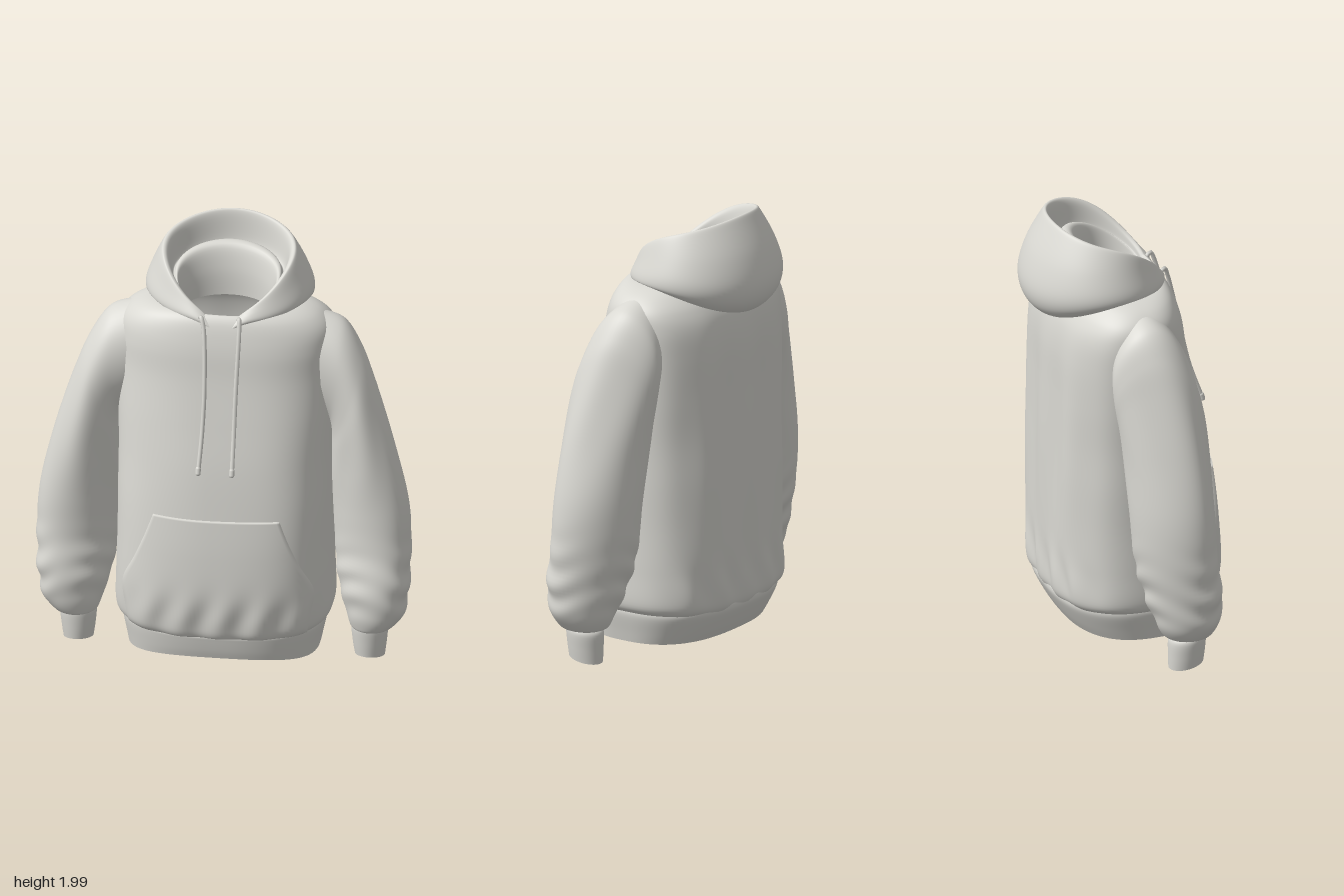
import * as THREE from 'three';

const cloth = new THREE.MeshStandardMaterial({ color: 0xd9d8d2, side: THREE.DoubleSide });
cloth.name = 'light grey cloth';

// Smooth interpolation through rows of numbers, s in 0..1
function spline(rows, s) {
  const f = s * (rows.length - 1), i = Math.min(Math.floor(f), rows.length - 2), t = f - i;
  const row = k => rows[Math.max(0, Math.min(rows.length - 1, k))];
  return rows[0].map((_, k) => {
    const [a, b, c, d] = [row(i - 1)[k], row(i)[k], row(i + 1)[k], row(i + 2)[k]];
    return b + 0.5 * t * (c - a + t * (2 * a - 5 * b + 4 * c - d + t * (3 * (b - c) + d - a)));
  });
}

// Surface from point(u, v); u runs round or across, v along; cells inside a hole are left out
function surface(name, point, nu, nv, { closed = true, hole = () => false } = {}) {
  const pos = [], idx = [], w = closed ? nu : nu + 1;
  for (let i = 0; i <= nv; i++)
    for (let j = 0; j < w; j++) pos.push(...point(j / nu, i / nv));
  for (let i = 0; i < nv; i++)
    for (let j = 0; j < nu; j++) {
      const a = i * w + j, b = i * w + (j + 1) % w;
      if (!hole(...pos.slice(a * 3, a * 3 + 3))) idx.push(a, b, a + w, b, b + w, a + w);
    }
  const g = new THREE.BufferGeometry();
  g.setAttribute('position', new THREE.Float32BufferAttribute(pos, 3));
  g.setIndex(idx);
  g.computeVertexNormals();
  const mesh = new THREE.Mesh(g, cloth);
  mesh.name = name;
  return mesh;
}

const sgnPow = (v, p) => Math.sign(v) * Math.pow(Math.abs(v), p);
const bump = (v, c, w) => Math.exp(-(((v - c) / w) ** 2));

// Body rows: y, half width, front z, back z, squareness of the section
const bodyRows = [
  [0.19, 0.445, 0.38, -0.335, 2.7], [0.24, 0.485, 0.4, -0.35, 2.8], [0.4, 0.485, 0.415, -0.35, 2.8],
  [0.6, 0.48, 0.405, -0.35, 2.8], [0.8, 0.48, 0.38, -0.348, 2.8], [1.0, 0.48, 0.348, -0.345, 2.7],
  [1.2, 0.485, 0.305, -0.34, 2.7], [1.4, 0.488, 0.262, -0.335, 2.6], [1.53, 0.488, 0.24, -0.315, 2.6],
  [1.61, 0.475, 0.22, -0.28, 2.5], [1.665, 0.425, 0.2, -0.235, 2.4], [1.695, 0.355, 0.18, -0.2, 2.3],
  [1.7, 0.28, 0.165, -0.175, 2.2], [1.67, 0.21, 0.15, -0.155, 2],
];

// Gathers above the hem and long folds down the back
function fold(x, y, front) {
  const gather = 0.01 * bump(y, 0.29, 0.11) * Math.sin(x * 36 + Math.sin(y * 9));
  const drape = front ? 0.004 * Math.sin(x * 13 + y * 3) * bump(y, 0.9, 0.5)
    : 0.01 * Math.cos(x * 24) * bump(y, 0.95, 0.5);
  return gather + drape;
}

function bodyPoint(u, v) {
  const [y, hw, zf, zb, p] = spline(bodyRows, v), t = u * Math.PI * 2;
  const c = Math.cos(t), x = hw * sgnPow(Math.sin(t), 2 / p);
  const z = (zf + zb) / 2 + (zf - zb) / 2 * sgnPow(c, 2 / p);
  return [x, y, z + c * fold(x, y, c > 0)];
}
const armhole = (x, y, z) => Math.abs(x) > 0.38 && ((y - 1.4) / 0.22) ** 2 + ((z + 0.02) / 0.125) ** 2 < 1;

// Depth of the body front at x, y
function frontZ(x, y) {
  let lo = 0, hi = 0.75;
  for (let k = 0; k < 24; k++) {
    const m = (lo + hi) / 2;
    if (spline(bodyRows, m)[0] < y) lo = m; else hi = m;
  }
  const [, hw, zf, zb, p] = spline(bodyRows, lo);
  const q = Math.max(0, 1 - Math.pow(Math.min(1, Math.abs(x) / hw), p));
  return (zf + zb) / 2 + (zf - zb) / 2 * Math.pow(q, 1 / p) + Math.sqrt(q) * fold(x, y, true);
}

// Ribbed hem band, raised a little at the front centre, open below
const hemRows = [
  [0.05, 0.43, 0.37, -0.27], [0.1, 0.44, 0.38, -0.3],
  [0.17, 0.455, 0.39, -0.335], [0.2, 0.455, 0.392, -0.34], [0.215, 0.445, 0.38, -0.335],
];
function hemPoint(u, v) {
  const [y, hw, zf, zb] = spline(hemRows, v), t = u * Math.PI * 2, c = Math.cos(t);
  const lift = c > 0 ? 0.04 * c * c * Math.max(0, (0.2 - y) / 0.15) : 0;
  return [hw * sgnPow(Math.sin(t), 0.76), y + lift, (zf + zb) / 2 + (zf - zb) / 2 * sgnPow(c, 0.76)];
}

// Hood rows: front z, front y, back z, back y, half width, side lift, forward lean of the lift
const hoodRows = [
  [0.17, 1.66, -0.31, 1.575, 0.32, 0.075, 0], [0.195, 1.665, -0.365, 1.565, 0.36, 0.085, 0],
  [0.205, 1.68, -0.42, 1.62, 0.378, 0.065, 0], [0.205, 1.69, -0.435, 1.71, 0.374, 0.06, 0.2],
  [0.195, 1.7, -0.4, 1.84, 0.345, 0.065, 0.4], [0.18, 1.705, -0.335, 1.97, 0.31, 0.07, 0.7],
  [0.172, 1.705, -0.312, 2.0, 0.292, 0.07, 0.7], [0.162, 1.695, -0.298, 1.975, 0.272, 0.065, 0.7],
  [0.16, 1.685, -0.285, 1.86, 0.255, 0.05, 0.6], [0.158, 1.68, -0.265, 1.83, 0.245, 0.05, 0.5],
  [0.155, 1.675, -0.235, 1.885, 0.235, 0.04, 0.5], [0.152, 1.665, -0.185, 1.875, 0.22, 0.03, 0.4],
  [0.15, 1.65, -0.155, 1.77, 0.207, 0.01, 0], [0.148, 1.62, -0.148, 1.65, 0.2, 0, 0],
];
function hoodPoint(u, v) {
  const [zf, yf, zb, yb, hw, lift, lean] = spline(hoodRows, v), t = u * Math.PI * 2;
  const s = Math.sin(t), c = Math.cos(t), k = (1 - c) / 2, x = hw * s;
  const notch = c > 0 ? 0.055 * bump(x, 0, 0.07) : 0;
  return [x, yf + (yb - yf) * k + lift * s * s * (1 + lean * c) - notch, zf + (zb - zf) * k];
}

// Sleeve rows: outer x, outer y, inner x, inner y, centre z, half depth, skew of the section
const sleeveRows = [
  [0.425, 1.66, 0.455, 1.15, -0.02, 0.16, 0], [0.53, 1.618, 0.465, 1.12, -0.02, 0.175, 0.015],
  [0.605, 1.51, 0.468, 1.07, -0.01, 0.182, 0.03], [0.665, 1.36, 0.47, 1.0, 0.005, 0.184, 0.04],
  [0.752, 1.08, 0.475, 0.88, 0.018, 0.18, 0.048], [0.82, 0.8, 0.485, 0.72, 0.025, 0.175, 0.052],
  [0.835, 0.58, 0.495, 0.54, 0.035, 0.17, 0.055], [0.83, 0.38, 0.51, 0.39, 0.065, 0.165, 0.045],
  [0.815, 0.25, 0.54, 0.26, 0.082, 0.14, 0.025], [0.77, 0.18, 0.565, 0.18, 0.088, 0.11, 0.01],
  [0.73, 0.16, 0.58, 0.165, 0.09, 0.085, 0],
];
function sleevePoint(u, v) {
  const [ox, oy, ix, iy, zc, rz, skew] = spline(sleeveRows, v), t = u * Math.PI * 2;
  const y = (oy + iy) / 2, c = Math.cos(t), s = Math.sin(t);
  // Crumples toward the wrist, soft folds near the armhole
  const r = 1 + 0.05 * bump(y, 0.38, 0.16) * Math.sin(y * 46 + 2.2 * Math.sin(t * 2 + 0.6)) * (0.6 + 0.4 * Math.sin(t * 3))
    + 0.025 * bump(y, 1.1, 0.25) * Math.sin(t * 5 + y * 6);
  return [(ox + ix) / 2 + ((ox - ix) / 2 * c + skew * s) * r, y + (oy - iy) / 2 * c * r, zc + rz * s * r];
}
const cuffRows = [
  [0.725, 0.175, 0.585, 0.175, 0.095, 0.075], [0.738, 0.15, 0.575, 0.155, 0.093, 0.086],
  [0.732, 0.08, 0.582, 0.08, 0.09, 0.084], [0.724, 0.02, 0.59, 0.025, 0.087, 0.08],
];
function cuffPoint(u, v) {
  const [ox, oy, ix, iy, zc, rz] = spline(cuffRows, v), t = u * Math.PI * 2;
  const c = Math.cos(t), s = Math.sin(t);
  return [(ox + ix) / 2 + (ox - ix) / 2 * c, (oy + iy) / 2 + (oy - iy) / 2 * c + 0.015 * s, zc + rz * s];
}

// Front pouch pocket: y, half width; its border tucks into the body
const pocketRows = [[0.2, 0.4], [0.3, 0.418], [0.42, 0.43], [0.55, 0.375], [0.67, 0.325], [0.78, 0.285]];
function pocketPoint(u, v) {
  const inset = w => Math.max(0, Math.min(1, (w - 0.02) / 0.96));
  const [y, hw] = spline(pocketRows, inset(v)), x = hw * (inset(u) * 2 - 1);
  const edge = u < 0.01 || u > 0.99 || v < 0.01 || v > 0.99;
  return [x, y, frontZ(x, y) + (edge ? -0.012 : 0.012)];
}

// Drawstring with a knotted tip
function drawstring(name, xs) {
  const group = new THREE.Group();
  group.name = name;
  const path = [[1.675, 0.17], [1.705, 0.2], [1.66, 0.222], [1.4, 0.284], [1.2, 0.328], [1.02, 0.388]]
    .map(([y, z], i) => new THREE.Vector3(xs[i], y, z));
  const cord = new THREE.Mesh(new THREE.TubeGeometry(new THREE.CatmullRomCurve3(path), 48, 0.01, 8), cloth);
  cord.name = 'cord';
  const tip = new THREE.Mesh(new THREE.CapsuleGeometry(0.012, 0.02, 4, 10), cloth);
  tip.name = 'cordTip';
  tip.position.set(xs[5], 1.027, 0.387);
  tip.rotation.x = -0.28;
  group.add(cord, tip);
  return group;
}

export function createModel() {
  const model = new THREE.Group();
  model.name = 'hoodie';
  model.add(
    surface('body', bodyPoint, 160, 110, { hole: armhole }),
    surface('hemBand', hemPoint, 96, 20),
    surface('hood', hoodPoint, 96, 78),
    surface('pocket', pocketPoint, 50, 50, { closed: false }),
    drawstring('leftDrawstring', [0.075, 0.083, 0.086, 0.08, 0.077, 0.076]),
    drawstring('rightDrawstring', [-0.1, -0.09, -0.075, -0.062, -0.066, -0.076]),
  );
  for (const side of [1, -1]) {
    const arm = new THREE.Group();
    arm.name = side > 0 ? 'leftArm' : 'rightArm';
    arm.add(surface('sleeve', sleevePoint, 56, 100), surface('cuff', cuffPoint, 40, 16));
    arm.scale.x = side;
    model.add(arm);
  }
  return model;
}
